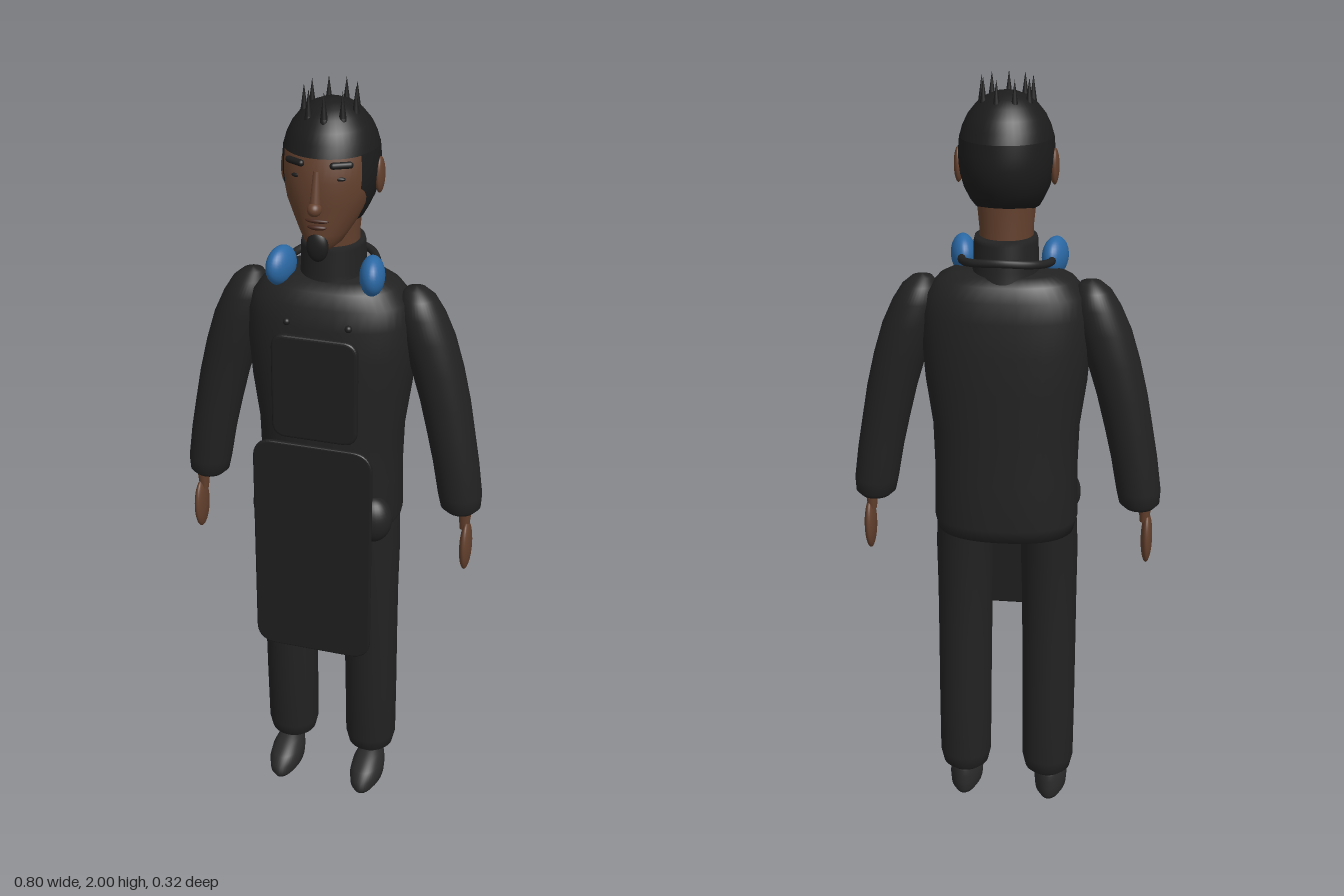
import * as THREE from 'three';

const mat = (name, color, side = THREE.FrontSide) => {
  const m = new THREE.MeshStandardMaterial({ color, side });
  m.name = name;
  return m;
};

// Surface through horizontal superellipse sections [y, rx, rz, cx, cz], bottom to top
function loft(sections, power = 2, a0 = 0, a1 = Math.PI * 2, n = 44) {
  const pos = [], idx = [];
  const closed = a1 - a0 > 6.28;
  const cols = closed ? n : n + 1;
  const bend = v => Math.sign(v) * Math.pow(Math.abs(v), 2 / power);
  for (const [y, rx, rz, cx = 0, cz = 0] of sections) {
    for (let j = 0; j < cols; j++) {
      const a = a0 + (a1 - a0) * j / n;
      pos.push(cx + rx * bend(Math.cos(a)), y, cz + rz * bend(Math.sin(a)));
    }
  }
  for (let i = 0; i < sections.length - 1; i++) {
    for (let j = 0; j < n; j++) {
      const k = (j + 1) % cols;
      const a = i * cols + j, b = a + cols, c = i * cols + k, d = c + cols;
      idx.push(a, b, c, b, d, c);
    }
  }
  const g = new THREE.BufferGeometry();
  g.setAttribute('position', new THREE.Float32BufferAttribute(pos, 3));
  g.setIndex(idx);
  g.computeVertexNormals();
  return g;
}

// Rounded plate facing +z
function plate(w, h, r, depth) {
  const bevel = depth * 0.35, x = w / 2 - bevel, y = h / 2 - bevel;
  const s = new THREE.Shape();
  s.moveTo(-x + r, -y);
  s.lineTo(x - r, -y);
  s.quadraticCurveTo(x, -y, x, -y + r);
  s.lineTo(x, y - r);
  s.quadraticCurveTo(x, y, x - r, y);
  s.lineTo(-x + r, y);
  s.quadraticCurveTo(-x, y, -x, y - r);
  s.lineTo(-x, -y + r);
  s.quadraticCurveTo(-x, -y, -x + r, -y);
  const g = new THREE.ExtrudeGeometry(s, {
    depth: depth - 2 * bevel, bevelSize: bevel, bevelThickness: bevel, bevelSegments: 3, curveSegments: 10,
  });
  g.translate(0, 0, -(depth - 2 * bevel) / 2);
  return g;
}

export function createModel() {
  const cloth = mat('black cloth', 0x222222);
  const apron = mat('apron black', 0x1e1e1e);
  const hair = mat('hair black', 0x1c1c1c, THREE.DoubleSide);
  const skin = mat('brown skin', 0x63402d);
  const lip = mat('dark lips', 0x46281d);
  const shoe = mat('shoe grey', 0x2a2a2a);
  const blue = mat('blue', 0x2a68a4);

  const model = new THREE.Group();
  model.name = 'figure';
  const add = (name, geo, material, x = 0, y = 0, z = 0) => {
    const m = new THREE.Mesh(geo, material);
    m.name = name;
    m.position.set(x, y, z);
    model.add(m);
    return m;
  };
  const ball = (name, material, x, y, z, rx, ry, rz) => {
    const m = add(name, new THREE.SphereGeometry(1, 28, 20), material, x, y, z);
    m.scale.set(rx, ry, rz);
    return m;
  };

  // Jacket and collar
  add('torso', loft([
    [0.828, 0, 0, 0, -0.022], [0.832, 0.15, 0.1, 0, -0.022], [0.845, 0.178, 0.127, 0, -0.022],
    [0.88, 0.186, 0.135, 0, -0.022], [1.0, 0.183, 0.134, 0, -0.021], [1.13, 0.187, 0.134, 0, -0.02],
    [1.25, 0.204, 0.136, 0, -0.02], [1.35, 0.212, 0.136, 0, -0.019], [1.43, 0.21, 0.131, 0, -0.019],
    [1.48, 0.198, 0.122, 0, -0.02], [1.515, 0.168, 0.105, 0, -0.022], [1.535, 0.13, 0.085, 0, -0.025],
    [1.545, 0, 0, 0, -0.025],
  ], 2.4), cloth);
  add('collar', loft([
    [1.52, 0.085, 0.092, 0, -0.03], [1.55, 0.08, 0.088, 0, -0.03], [1.61, 0.079, 0.086, 0, -0.028],
    [1.622, 0.076, 0.083, 0, -0.028], [1.622, 0, 0, 0, -0.028],
  ]), cloth);

  // Bib, skirt and studs of the apron
  add('apronBib', plate(0.22, 0.28, 0.03, 0.02), apron, 0, 1.28, 0.132);
  add('apronSkirt', plate(0.312, 0.62, 0.05, 0.014), apron, 0, 0.825, 0.154);

  // Head and neck
  add('neck', loft([
    [1.53, 0.068, 0.07, 0, -0.025], [1.64, 0.066, 0.07, 0, -0.02], [1.73, 0.075, 0.08, 0, -0.015],
  ]), skin);
  add('head', loft([
    [1.622, 0, 0, 0, 0.055], [1.628, 0.025, 0.03, 0, 0.058], [1.645, 0.045, 0.055, 0, 0.052],
    [1.67, 0.061, 0.074, 0, 0.038], [1.7, 0.079, 0.087, 0, 0.024], [1.74, 0.099, 0.104, 0, 0.01],
    [1.77, 0.107, 0.113, 0, 0.002], [1.8, 0.111, 0.117, 0, -0.003], [1.86, 0.108, 0.114, 0, -0.006],
    [1.91, 0.082, 0.09, 0, -0.01], [1.945, 0.045, 0.055, 0, -0.012], [1.955, 0, 0, 0, -0.012],
  ]), skin);

  // Hair: full crown plus a lower band that leaves the face open
  add('hairCrown', loft([
    [1.858, 0.1135, 0.126, 0, -0.014], [1.885, 0.106, 0.117, 0, -0.014], [1.91, 0.094, 0.104, 0, -0.014],
    [1.935, 0.074, 0.083, 0, -0.014], [1.952, 0.052, 0.058, 0, -0.014], [1.962, 0.028, 0.031, 0, -0.014],
    [1.966, 0, 0, 0, -0.014],
  ]), hair);
  add('hairSides', loft([
    [1.69, 0, 0, 0, 0], [1.692, 0.08, 0.078, 0, 0], [1.71, 0.09, 0.1, 0, -0.007], [1.74, 0.104, 0.116, 0, -0.011],
    [1.77, 0.112, 0.125, 0, -0.013], [1.8, 0.116, 0.129, 0, -0.014], [1.83, 0.116, 0.129, 0, -0.014],
    [1.86, 0.1135, 0.126, 0, -0.014],
  ], 2, Math.PI - 0.62, Math.PI * 2 + 0.62), hair);

  // Ring of hair spikes with rounded roots
  for (let i = 0; i < 9; i++) {
    const a = 1.5 + i * Math.PI * 2 / 9;
    const x = 0.062 * Math.cos(a), z = -0.006 + 0.071 * Math.sin(a);
    add('hairSpike', new THREE.ConeGeometry(0.0105, 0.075, 14), hair, x, 1.9625, z);
    ball('spikeRoot', hair, x, 1.925, z, 0.0105, 0.022, 0.0105);
  }

  // Nose, mouth and goatee
  const bridge = add('noseBridge', new THREE.CylinderGeometry(0.008, 0.014, 0.09, 16), skin, 0, 1.783, 0.115);
  bridge.rotation.x = -0.17;
  ball('noseTip', skin, 0, 1.742, 0.126, 0.017, 0.017, 0.019);
  ball('upperLip', lip, 0, 1.708, 0.107, 0.029, 0.006, 0.009);
  ball('lowerLip', lip, 0, 1.692, 0.106, 0.024, 0.007, 0.011);
  ball('goatee', hair, 0, 1.643, 0.104, 0.027, 0.038, 0.015);

  // Headphone band resting round the back of the collar
  const bandPath = new THREE.CatmullRomCurve3([
    [0.11, 1.555, 0.03], [0.108, 1.558, -0.04], [0.072, 1.568, -0.1], [0, 1.575, -0.124],
    [-0.072, 1.568, -0.1], [-0.108, 1.558, -0.04], [-0.11, 1.555, 0.03],
  ].map(p => new THREE.Vector3(...p)));
  add('headphoneBand', new THREE.TubeGeometry(bandPath, 48, 0.01, 10), cloth);

  for (const s of [1, -1]) {
    // Face details
    ball('ear', skin, s * 0.116, 1.79, -0.02, 0.011, 0.044, 0.024);
    ball('eye', hair, s * 0.048, 1.81, 0.094, 0.017, 0.006, 0.008);
    const brow = add('eyebrow', new THREE.CapsuleGeometry(0.008, 0.04, 6, 14), hair, s * 0.056, 1.843, 0.096);
    brow.rotation.set(0, s * 0.5, Math.PI / 2, 'YXZ');

    // Headphone cups and bib studs
    ball('headphoneCup', blue, s * 0.115, 1.555, 0.033, 0.031, 0.049, 0.055).rotation.y = s * 0.2;
    ball('stud', apron, s * 0.078, 1.442, 0.108, 0.009, 0.009, 0.009);
    ball('hipPocket', cloth, s * 0.135, 0.9, 0.072, 0.052, 0.065, 0.046);

    // Sleeve, wrist and hand
    add('sleeve', loft([
      [0.908, 0, 0, s * 0.346, -0.022], [0.911, 0.038, 0.038, s * 0.346, -0.022],
      [0.925, 0.052, 0.052, s * 0.345, -0.022], [0.96, 0.057, 0.056, s * 0.342, -0.022],
      [1.05, 0.059, 0.058, s * 0.328, -0.022], [1.13, 0.061, 0.06, s * 0.312, -0.023],
      [1.22, 0.064, 0.062, s * 0.293, -0.025], [1.31, 0.067, 0.065, s * 0.269, -0.026],
      [1.39, 0.068, 0.066, s * 0.244, -0.026], [1.45, 0.06, 0.062, s * 0.225, -0.026],
      [1.49, 0.045, 0.048, s * 0.215, -0.026], [1.51, 0.026, 0.028, s * 0.21, -0.026],
      [1.517, 0, 0, s * 0.21, -0.026],
    ]), cloth);
    add('wrist', new THREE.CylinderGeometry(0.018, 0.012, 0.06, 16), skin, s * 0.36, 0.893, -0.01);
    ball('hand', skin, s * 0.367, 0.815, -0.005, 0.015, 0.07, 0.04);

    // Trouser leg
    add('trouserLeg', loft([
      [0.086, 0, 0, s * 0.115, -0.02], [0.09, 0.045, 0.045, s * 0.115, -0.02],
      [0.105, 0.062, 0.062, s * 0.115, -0.02], [0.14, 0.07, 0.069, s * 0.115, -0.019],
      [0.3, 0.071, 0.072, s * 0.115, -0.014], [0.5, 0.072, 0.076, s * 0.114, -0.008],
      [0.65, 0.073, 0.08, s * 0.113, -0.006], [0.78, 0.075, 0.087, s * 0.112, -0.009],
      [0.87, 0.075, 0.092, s * 0.108, -0.012],
    ]), cloth);

    // Shoe with a flat sole and low toe
    add('shoe', loft([
      [0, 0, 0, s * 0.12, 0.03], [0.002, 0.034, 0.08, s * 0.12, 0.03], [0.015, 0.043, 0.088, s * 0.12, 0.03],
      [0.04, 0.045, 0.088, s * 0.12, 0.029], [0.06, 0.042, 0.075, s * 0.12, 0.018],
      [0.078, 0.033, 0.056, s * 0.12, 0], [0.092, 0.02, 0.035, s * 0.12, -0.014],
      [0.096, 0, 0, s * 0.12, -0.015],
    ]), shoe);
  }
  return model;
}
